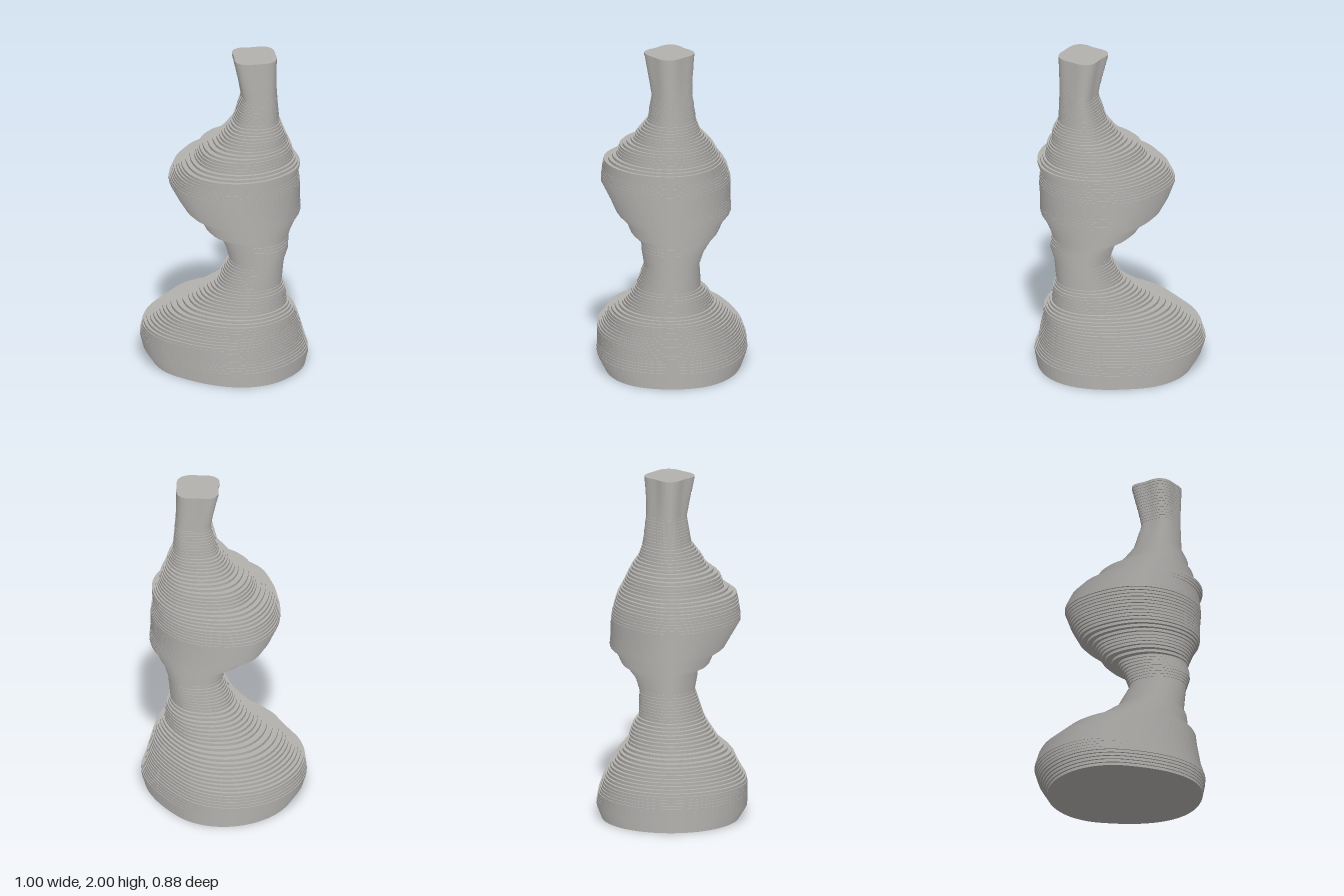
import * as THREE from 'three';
import { mergeGeometries } from 'three/addons/utils/BufferGeometryUtils.js';

const LAYERS = 120;
const HEIGHT = 2;
const SEGMENTS = 80;

// Reach of the stack at each height: [y, left x, right x, front z, back z]
const PROFILE = [
  [0.00, -0.43, 0.485, 0.40, -0.41],
  [0.08, -0.48, 0.50, 0.445, -0.44],
  [0.15, -0.505, 0.475, 0.445, -0.43],
  [0.23, -0.48, 0.46, 0.445, -0.40],
  [0.30, -0.40, 0.45, 0.40, -0.36],
  [0.36, -0.33, 0.445, 0.37, -0.31],
  [0.42, -0.20, 0.40, 0.29, -0.25],
  [0.50, -0.09, 0.395, 0.23, -0.22],
  [0.55, -0.02, 0.375, 0.20, -0.18],
  [0.70, 0.06, 0.39, 0.15, -0.175],
  [0.78, 0.03, 0.415, 0.165, -0.20],
  [0.84, -0.01, 0.40, 0.17, -0.24],
  [0.88, -0.10, 0.41, 0.23, -0.28],
  [0.95, -0.15, 0.44, 0.26, -0.31],
  [1.00, -0.24, 0.47, 0.32, -0.355],
  [1.08, -0.29, 0.47, 0.36, -0.35],
  [1.18, -0.33, 0.475, 0.415, -0.35],
  [1.26, -0.29, 0.465, 0.405, -0.33],
  [1.31, -0.24, 0.485, 0.395, -0.31],
  [1.36, -0.16, 0.44, 0.32, -0.28],
  [1.42, -0.12, 0.43, 0.295, -0.25],
  [1.47, -0.03, 0.405, 0.22, -0.22],
  [1.52, 0.02, 0.40, 0.19, -0.18],
  [1.60, 0.08, 0.365, 0.13, -0.155],
  [1.76, 0.13, 0.36, 0.105, -0.135],
  [1.85, 0.11, 0.36, 0.12, -0.135],
  [2.00, 0.07, 0.365, 0.15, -0.145],
];

function reachAt(y) {
  let i = 1;
  while (i < PROFILE.length - 1 && PROFILE[i][0] < y) i++;
  const a = PROFILE[i - 1], b = PROFILE[i];
  const t = (y - a[0]) / (b[0] - a[0]);
  return a.slice(1).map((v, k) => THREE.MathUtils.lerp(v, b[k + 1], t));
}

// Rounded outline: full and lopsided at the base, a soft diamond at the top
function outline(y) {
  const [left, right, front, back] = reachAt(y);
  const baseness = 1 - THREE.MathUtils.smoothstep(y, 0.2, 0.6);
  const topness = THREE.MathUtils.smoothstep(y, 1.4, 2);
  const cx = (left + right) / 2 - 0.08 * baseness;
  const points = [];
  for (let i = 0; i < SEGMENTS; i++) {
    const a = (i / SEGMENTS) * Math.PI * 2;
    const c = Math.cos(a), s = Math.sin(a);
    const pinch = (c < 0 ? 0.05 : 0) - 0.05 * baseness + 0.14 * topness;
    const r = 1 - pinch * Math.sin(2 * a) ** 2;
    const x = cx + c * r * (c > 0 ? right - cx : cx - left);
    const z = s * r * (s > 0 ? -back : front);
    points.push(new THREE.Vector2(x, z));
  }
  return new THREE.Shape(points);
}

export function createModel() {
  const stone = new THREE.MeshStandardMaterial({ color: 0xb3b1ae });
  stone.name = 'warm grey';

  // Flat slabs stacked from the ground up
  const step = HEIGHT / LAYERS;
  const slabs = [];
  for (let i = 0; i < LAYERS; i++) {
    const y = (i / (LAYERS - 1)) * HEIGHT;
    const slab = new THREE.ExtrudeGeometry(outline(y), { depth: step, bevelEnabled: false });
    slab.rotateX(-Math.PI / 2);
    slab.translate(0, i * step, 0);
    slabs.push(slab);
  }

  const tower = new THREE.Mesh(mergeGeometries(slabs), stone);
  tower.name = 'stackedSlabs';

  const model = new THREE.Group();
  model.name = 'layeredTower';
  model.add(tower);
  return model;
}
